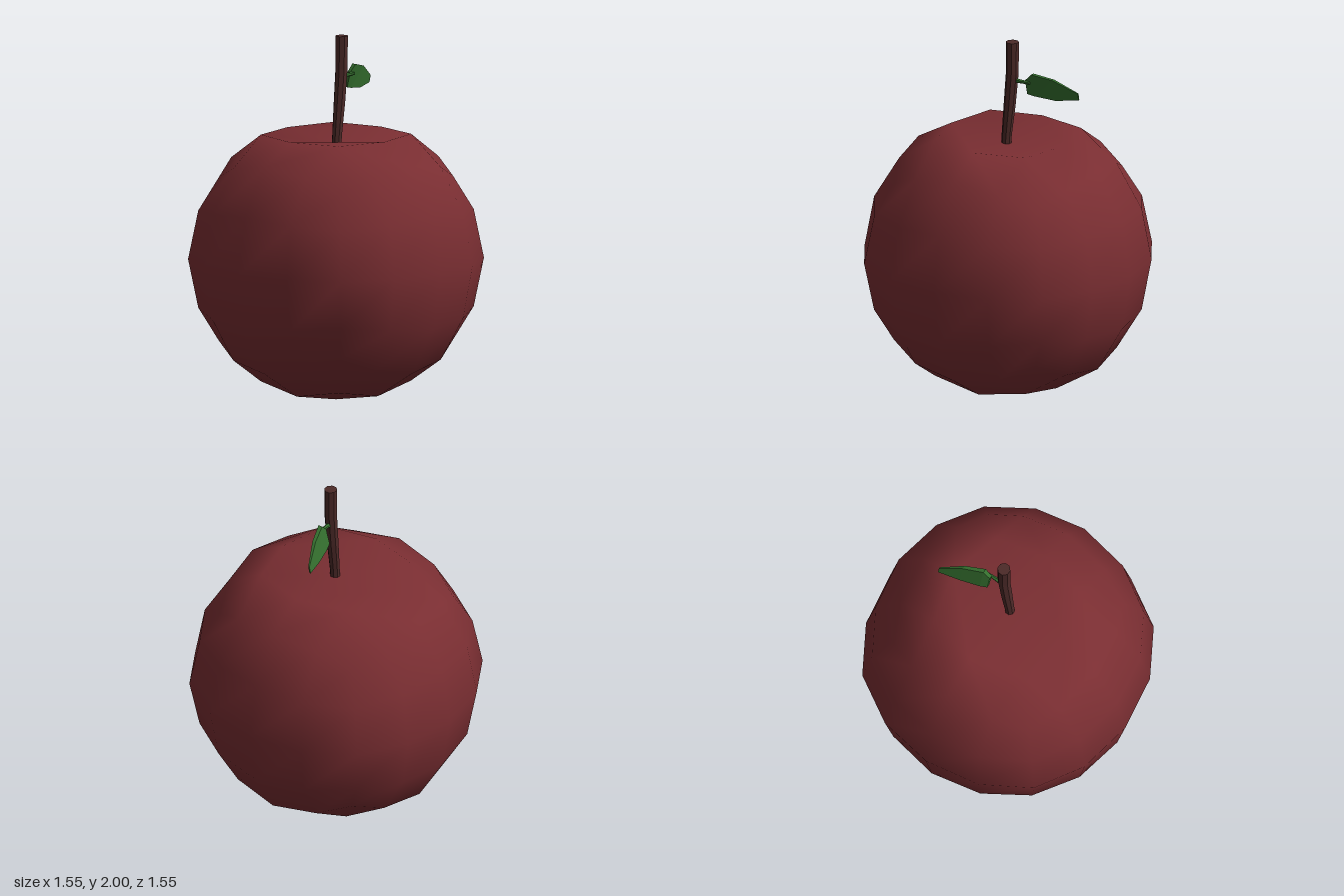
import * as THREE from 'three';
import { mergeVertices } from 'three/addons/utils/BufferGeometryUtils.js';

// Skin over a stack of equal-sized closed cross-sections, capped at both ends
function loft(sections) {
  const n = sections[0].length, pos = sections.flat(2), idx = [];
  for (let s = 0; s < sections.length - 1; s++)
    for (let i = 0; i < n; i++) {
      const a = s * n + i, b = s * n + (i + 1) % n;
      idx.push(a, b, a + n, b, b + n, a + n);
    }
  const last = (sections.length - 1) * n;
  for (let i = 1; i < n - 1; i++) idx.push(0, i + 1, i, last, last + i, last + i + 1);
  const g = new THREE.BufferGeometry();
  g.setAttribute('position', new THREE.Float32BufferAttribute(pos, 3));
  g.setIndex(idx);
  g.computeVertexNormals();
  return g;
}

function mesh(name, geometry, color, flatShading = false) {
  const m = new THREE.Mesh(geometry, new THREE.MeshStandardMaterial({ color, flatShading }));
  m.name = name;
  return m;
}

// Rounded cube of 4 x 4 quads a side, with the top pressed in
function fruitGeometry() {
  // grid steps (sorted, 0..2) -> position, largest component last
  const rule = {
    '002': [0, 0, 0.8785], '012': [0, 0.3507, 0.8194], '022': [0, 0.6432, 0.6432],
    '112': [0.3264, 0.3264, 0.7639], '122': [0.3021, 0.599, 0.599], '222': [0.5093, 0.5093, 0.5093],
  };
  const scale = 0.775 / 0.8785, centre = 0.78;
  let g = new THREE.BoxGeometry(4, 4, 4, 4, 4, 4);
  g.deleteAttribute('uv');
  g.deleteAttribute('normal');
  g = mergeVertices(g);
  const p = g.attributes.position;
  for (let i = 0; i < p.count; i++) {
    const c = [p.getX(i), p.getY(i), p.getZ(i)].map(Math.round);
    const order = [0, 1, 2].sort((a, b) => Math.abs(c[a]) - Math.abs(c[b]));
    const target = rule[order.map(k => Math.abs(c[k])).join('')];
    const v = [0, 0, 0];
    order.forEach((k, j) => { v[k] = Math.sign(c[k]) * target[j] * scale; });
    v[1] += centre;
    // dimple around the stem
    if (c[1] === 2) {
      const steps = Math.abs(c[0]) + Math.abs(c[2]);
      if (steps === 0) v[1] = 1.41;
      else if (steps === 1) { v[0] = c[0] * 0.36; v[1] = 1.46; v[2] = c[2] * 0.36; }
      else if (Math.abs(c[0]) === 1 && Math.abs(c[2]) === 1) v[1] = 1.462;
    }
    p.setXYZ(i, ...v);
  }
  g.computeVertexNormals();
  return g;
}

// Horizontal ring for the stem
function ring(y, z, r, sides = 8) {
  return Array.from({ length: sides }, (_, i) => {
    const a = -(i + 0.5) / sides * Math.PI * 2;
    return [0.01 + r * Math.cos(a), y, z + r * Math.sin(a)];
  });
}

export function createModel() {
  const model = new THREE.Group();
  model.name = 'fruit';
  model.add(mesh('fruitBody', fruitGeometry(), 0x7a2e32));

  // Stem bending slightly backward
  const stem = loft([
    ring(1.37, 0.008, 0.027), ring(1.46, 0.002, 0.028), ring(1.64, -0.017, 0.033),
    ring(1.82, -0.033, 0.035), ring(2, -0.034, 0.036),
  ]).toNonIndexed();
  model.add(mesh('stem', stem, 0x4c2a28, true));

  // Short stalk between stem and leaf
  const stalk = new THREE.CylinderGeometry(0.008, 0.014, 0.1, 6).rotateX(-Math.PI / 2);
  stalk.translate(0.005, 1.78, -0.09);
  model.add(mesh('leafStalk', stalk, 0x35702f, true));

  // Tilted leaf: z, middle x, half lean, half thickness, top y, bottom y
  const leaf = [
    [-0.11, -0.018, 0.012, 0.01, 1.79, 1.705],
    [-0.15, -0.025, 0.018, 0.012, 1.83, 1.695],
    [-0.26, -0.06, 0.013, 0.01, 1.803, 1.68],
    [-0.382, -0.108, 0.004, 0.004, 1.73, 1.69],
  ].map(([z, x, lean, t, top, bottom]) => [
    [x + lean + t, top, z], [x + lean - t, top, z],
    [x - lean - t, bottom, z], [x - lean + t, bottom, z],
  ].reverse());
  model.add(mesh('leaf', loft(leaf), 0x35702f, true));
  return model;
}
